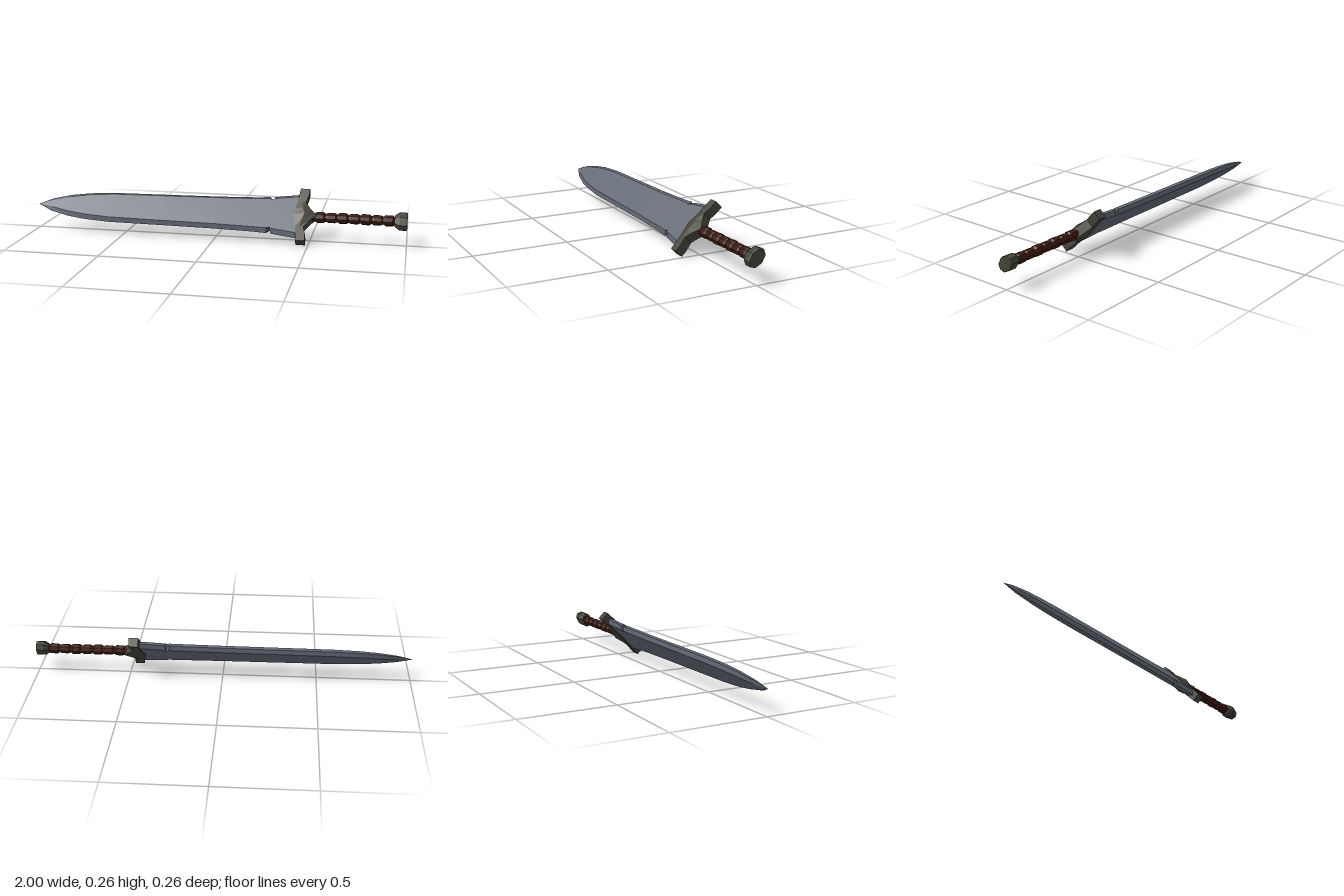
import * as THREE from 'three';

const material = (color) => new THREE.MeshStandardMaterial({ color, flatShading: true });
const steel = material(0x646a75);
const bronze = material(0x45443a);
const leather = material(0x3e1a10);

// Joins equal-sized rings of points into a closed, faceted solid.
function loft(name, rings, mat) {
  const pos = [];
  const tri = (...points) => points.forEach((p) => pos.push(...p));
  const n = rings[0].length;
  for (let i = 0; i < rings.length - 1; i++) {
    for (let j = 0; j < n; j++) {
      const k = (j + 1) % n;
      const [a, b, c, d] = [rings[i][j], rings[i][k], rings[i + 1][k], rings[i + 1][j]];
      tri(a, b, c);
      tri(a, c, d);
    }
  }
  const first = rings[0], last = rings[rings.length - 1];
  for (let j = 1; j < n - 1; j++) {
    tri(first[0], first[j + 1], first[j]);
    tri(last[0], last[j], last[j + 1]);
  }
  const geometry = new THREE.BufferGeometry();
  geometry.setAttribute('position', new THREE.Float32BufferAttribute(pos, 3));
  geometry.computeVertexNormals();
  const mesh = new THREE.Mesh(geometry, mat);
  mesh.name = name;
  return mesh;
}

// Blade: bevelled six-sided section, notched on both edges near the guard.
function blade() {
  // x, edge half width, flat half width, half thickness
  const rows = [
    [-1, 0.001, 0.0005, 0.0005], [-0.925, 0.04, 0.02, 0.011], [-0.82, 0.068, 0.046, 0.016],
    [-0.72, 0.083, 0.062, 0.018], [-0.58, 0.093, 0.073, 0.019], [-0.3, 0.096, 0.077, 0.019],
    [0, 0.1, 0.081, 0.019], [0.2, 0.106, 0.087, 0.019], [0.278, 0.111, 0.09, 0.019],
    [0.294, 0.088, 0.084, 0.019], [0.304, 0.113, 0.092, 0.019], [0.45, 0.135, 0.112, 0.019],
  ];
  return loft('blade', rows.map(([x, w, f, t]) => [
    [x, w, 0], [x, f, t], [x, -f, t], [x, -w, 0], [x, -f, -t], [x, f, -t],
  ]), steel);
}

// Crossguard: square arm tips, narrow necks and a ridged centre.
function guard() {
  // distance from centre, blade-side x, grip-side x, half thickness, ridge height
  const half = [
    [0, 0.412, 0.535, 0.024, 0.04], [0.035, 0.42, 0.5, 0.024, 0.033],
    [0.075, 0.428, 0.472, 0.024, 0.024], [0.118, 0.433, 0.484, 0.024, 0.024],
    [0.158, 0.437, 0.486, 0.024, 0.024],
  ];
  const mirrored = half.slice(1).reverse().map(([w, ...rest]) => [-w, ...rest]);
  return loft('crossguard', [...mirrored, ...half].map(([w, x0, x1, t, ridge]) => {
    const m = (x0 + x1) / 2;
    return [[x1, w, t], [x1, w, -t], [m, w, -ridge], [x0, w, -t], [x0, w, t], [m, w, ridge]];
  }), bronze);
}

// Octagonal ring across the handle axis.
function octagon(x, w, t) {
  return Array.from({ length: 8 }, (_, i) => {
    const a = (i * Math.PI) / 4;
    return [x, w * Math.cos(a), t * Math.sin(a)];
  });
}

// Grip: a row of bulging leather wraps.
function grip() {
  const count = 7, start = 0.525, step = 0.059;
  const rings = [octagon(0.5, 0.022, 0.02)];
  for (let i = 0; i < count; i++) {
    const x = start + i * step;
    const r = i % 2 ? 0.028 : 0.03;
    rings.push(octagon(x, 0.022, 0.021), octagon(x + 0.011, r, r - 0.002),
      octagon(x + step - 0.013, r, r - 0.002), octagon(x + step - 0.003, 0.022, 0.021));
  }
  rings.push(octagon(0.95, 0.022, 0.02));
  return loft('grip', rings, leather);
}

// Pommel: flattened octagonal cap, tapered toward the grip.
function pommel() {
  const ring = (x, s) => [
    [0.052, 0], [0.04, 0.025], [0, 0.038], [-0.04, 0.025],
    [-0.052, 0], [-0.04, -0.025], [0, -0.038], [0.04, -0.025],
  ].map(([w, t]) => [x, w * s, t * s]);
  return loft('pommel', [ring(0.935, 0.62), ring(0.96, 1), ring(0.993, 1), ring(1, 0.95)], bronze);
}

export function createModel() {
  const sword = new THREE.Group();
  sword.name = 'sword';
  sword.add(blade(), guard(), grip(), pommel());
  // The sword lies along x, rolled halfway between flat and edge-on.
  sword.rotation.x = -Math.PI / 4;
  sword.position.y = 0.129;
  const model = new THREE.Group();
  model.add(sword);
  return model;
}
